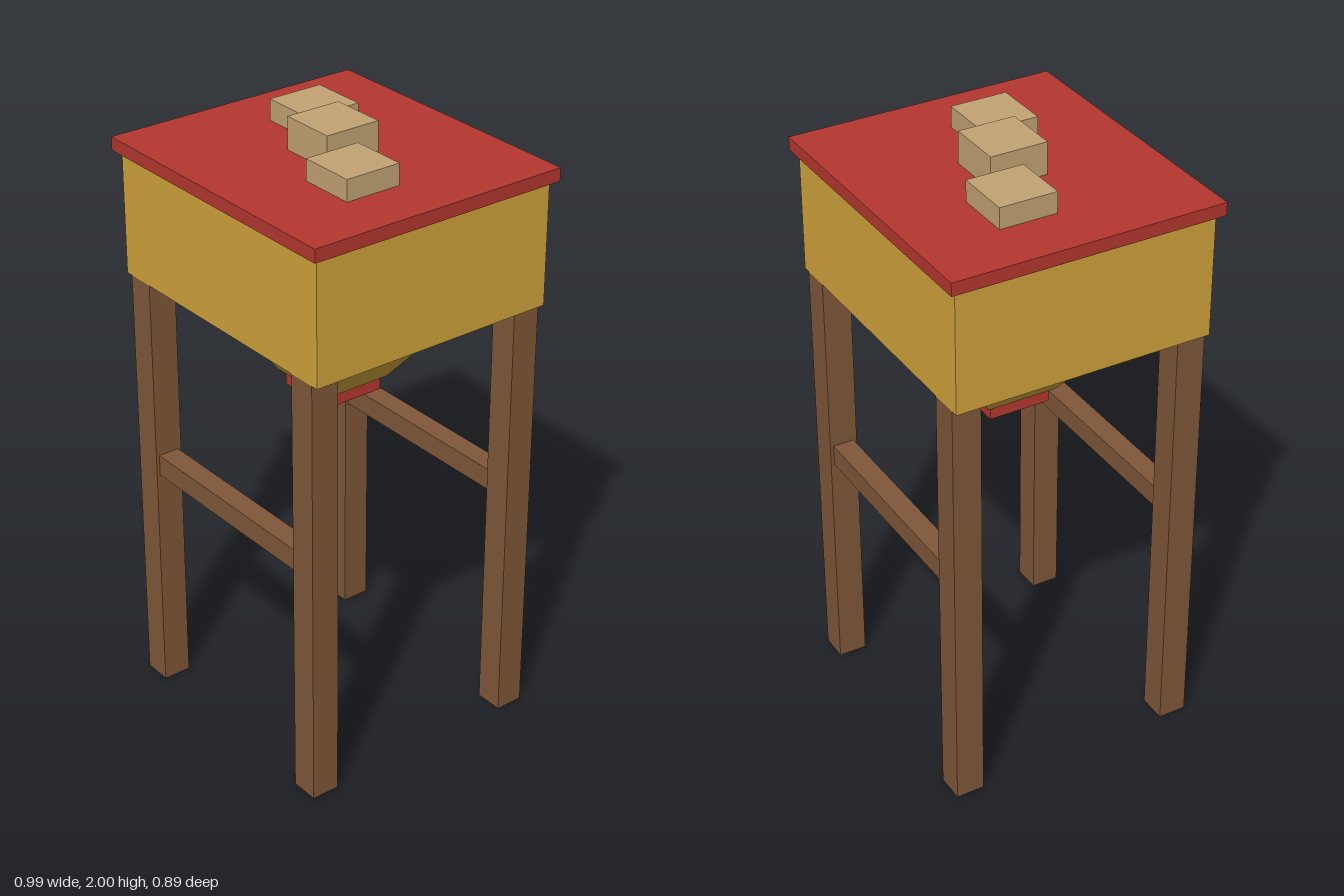
import * as THREE from 'three';

const paint = (color) => new THREE.MeshStandardMaterial({ color });

export function createModel() {
  const model = new THREE.Group();
  const yellow = paint(0xd0a33c);
  const red = paint(0xb5362f);
  const timber = paint(0x7f5739);
  const sack = paint(0xc2a373);

  // Adds a part whose underside rests at height y
  function add(name, geometry, material, x, y, z, height) {
    const mesh = new THREE.Mesh(geometry, material);
    mesh.name = name;
    mesh.position.set(x, y + height / 2, z);
    model.add(mesh);
    return mesh;
  }
  const box = (name, material, [w, h, d], x, y, z) =>
    add(name, new THREE.BoxGeometry(w, h, d), material, x, y, z, h);

  // Legs and the front and back rungs
  const legX = 0.403, legZ = 0.379, leg = 0.094;
  for (const sz of [1, -1]) {
    for (const sx of [1, -1]) {
      box('leg', timber, [leg, 1.45, leg], sx * legX, 0, sz * legZ);
    }
    box('rung', timber, [2 * legX - leg, 0.071, 0.071], 0, 0.781, sz * legZ);
  }

  // Bin and its overhanging lid
  box('bin', yellow, [0.948, 0.402, 0.852], 0, 1.45, 0);
  box('lid', red, [0.99, 0.043, 0.895], 0, 1.852, 0);

  // Four-sided hopper, shaded smoothly, with the outlet below
  const hopper = add('hopper', new THREE.CylinderGeometry(0.452, 0.167, 0.288, 4),
    yellow, 0, 1.162, 0, 0.288);
  hopper.rotation.y = Math.PI / 4;
  box('outlet', red, [0.206, 0.048, 0.206], 0, 1.115, 0);

  // Row of blocks across the lid, the middle one taller
  for (const i of [-1, 0, 1]) {
    box('block', sack, [0.189, i ? 0.069 : 0.105, 0.189], i * 0.213, 1.895, i * 0.095);
  }

  return model;
}
